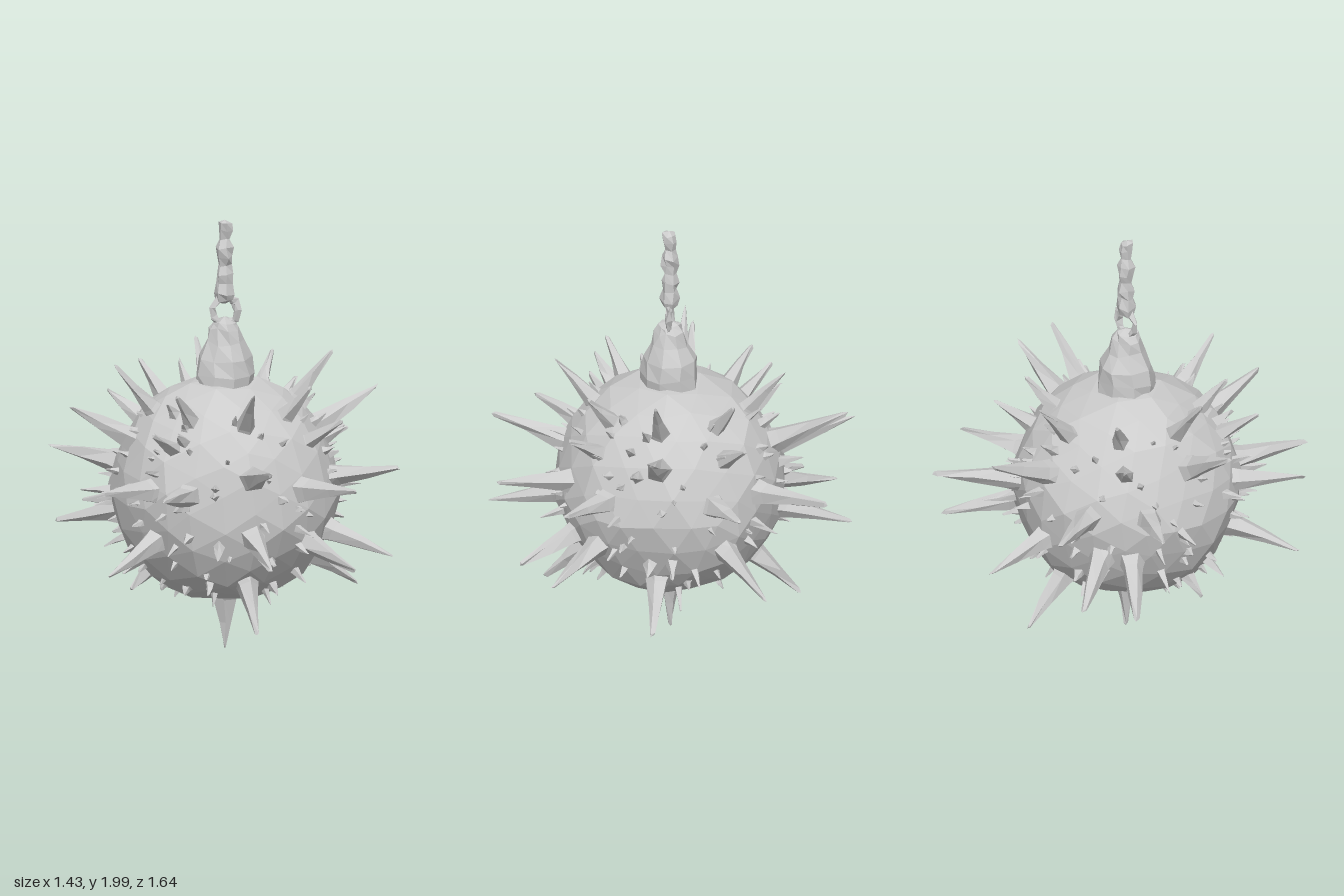
import * as THREE from 'three';
import { mergeGeometries } from 'three/addons/utils/BufferGeometryUtils.js';

const CENTER = new THREE.Vector3(0, 0.76, 0);
const RADIUS = 0.51;
const UP = new THREE.Vector3(0, 1, 0);

// Small seeded generator
function seeded(seed) {
  return () => {
    seed = (seed * 16807) % 2147483647;
    return seed / 2147483647;
  };
}

// Hammered surface: shift vertices by a hash of their position, so shared corners stay joined
function roughen(geometry, amount) {
  const p = geometry.attributes.position;
  const hash = (a, b, c) => {
    const s = Math.sin(Math.round(a * 1e3) * 12.99 + Math.round(b * 1e3) * 78.23 + Math.round(c * 1e3) * 37.72) * 43758.5;
    return (s - Math.floor(s)) * 2 - 1;
  };
  for (let i = 0; i < p.count; i++) {
    const x = p.getX(i), y = p.getY(i), z = p.getZ(i);
    p.setXYZ(i, x + amount * hash(x, y, z), y + amount * hash(y, z, x), z + amount * hash(z, x, y));
  }
  return geometry;
}

// Crooked faceted spike, rooted inside the ball and ending at the tip
function spike(tip, baseRadius, sides, rand, root = 0.44) {
  const dir = tip.clone().sub(CENTER);
  const length = dir.length() - root;
  dir.normalize();
  const profile = [[baseRadius * 1.25, 0], [baseRadius * 0.8, 0.25], [baseRadius * 0.45, 0.6], [baseRadius * 0.14, 0.96], [0, 1]];
  const g = new THREE.LatheGeometry(profile.map(([r, t]) => new THREE.Vector2(r, t * length)), sides);
  roughen(g, baseRadius * 0.1);
  g.rotateY(rand() * Math.PI * 2);
  g.applyQuaternion(new THREE.Quaternion().setFromUnitVectors(UP, dir));
  const start = CENTER.clone().addScaledVector(dir, root);
  return g.translate(start.x, start.y, start.z);
}

export function createModel() {
  const group = new THREE.Group();
  const material = new THREE.MeshStandardMaterial({ color: 0xcccccc, flatShading: true, side: THREE.DoubleSide });
  const rand = seeded(4711);
  const add = (name, geometry) => {
    const mesh = new THREE.Mesh(geometry, material);
    mesh.name = name;
    group.add(mesh);
    return mesh;
  };

  // Ball
  add('ball', roughen(new THREE.IcosahedronGeometry(RADIUS, 3), 0.012)).position.copy(CENTER);

  // Long spikes, given by their tips
  const longTips = [
    [0, 0.01, 0],
    [0, 0.59, 0.82], [0, 0.59, -0.82], [0, 1.03, 0.8], [0, 1.14, -0.8],
    [0.71, 1.18, -0.01], [-0.71, 1.18, -0.01],
    [0.71, 0.9, 0.38], [-0.69, 0.9, 0.46], [0.66, 0.9, -0.4], [-0.71, 0.9, -0.41],
    [0.42, 0.9, 0.73], [-0.46, 0.9, 0.67], [0.44, 0.9, -0.77], [-0.42, 0.9, -0.78],
    [0.66, 0.51, 0.45], [-0.66, 0.51, 0.45], [0.66, 0.51, -0.52], [-0.65, 0.51, -0.52],
    [0.44, 0.5, 0.62], [-0.48, 0.55, -0.69],
    [0.61, 0.27, 0], [0, 0.22, 0.57], [0, 0.22, -0.59],
  ];
  add('longSpikes', mergeGeometries(longTips.map((t) => spike(new THREE.Vector3(...t), 0.062, 5, rand))));

  // Medium spikes on the upper shoulder, plus one low on the side
  const mediumTips = [[0.5, 1.36, 0], [-0.51, 1.36, 0], [0, 1.32, 0.52], [0, 1.32, -0.52], [-0.45, 0.33, 0.05]];
  for (const sx of [1, -1]) for (const sz of [1, -1]) mediumTips.push([0.31 * sx, 1.29, 0.33 * sz], [0.44 * sx, 1.14, 0.4 * sz]);
  add('mediumSpikes', mergeGeometries(mediumTips.map((t) => spike(new THREE.Vector3(...t), 0.05, 5, rand))));

  // Small spikes scattered on a spiral, keeping clear of the collar
  const small = [];
  const count = 125;
  for (let i = 0; i < count; i++) {
    const y = 0.8 - 1.7 * ((i + rand() * 0.8) / count);
    const a = i * 2.4 + rand() * 0.8;
    const h = Math.sqrt(1 - y * y);
    const reach = RADIUS + 0.03 + 0.13 * rand() * rand();
    const tip = new THREE.Vector3(Math.cos(a) * h, y, Math.sin(a) * h).multiplyScalar(reach).add(CENTER);
    small.push(spike(tip, 0.022 + 0.018 * rand(), 4, rand, 0.47));
  }
  add('smallSpikes', mergeGeometries(small));

  // Collar on top of the ball
  const collar = [[0.13, 1.22], [0.13, 1.3], [0.115, 1.37], [0.085, 1.44], [0.065, 1.5], [0.045, 1.53], [0, 1.54]];
  add('collar', roughen(new THREE.LatheGeometry(collar.map((p) => new THREE.Vector2(...p)), 9), 0.01));

  // Ring linking collar and chain
  const ring = roughen(new THREE.TorusGeometry(0.06, 0.017, 5, 9), 0.008);
  add('ring', ring).position.y = 1.575;

  // Chain, rough and worn into a lumpy rod
  const chain = [[0, 1.61], [0.04, 1.625], [0.046, 1.66], [0.034, 1.71], [0.038, 1.75], [0.026, 1.79],
    [0.036, 1.83], [0.04, 1.87], [0.025, 1.91], [0.035, 1.95], [0.03, 1.985], [0, 1.995]];
  add('chain', roughen(new THREE.LatheGeometry(chain.map((p) => new THREE.Vector2(...p)), 6), 0.007));

  return group;
}
